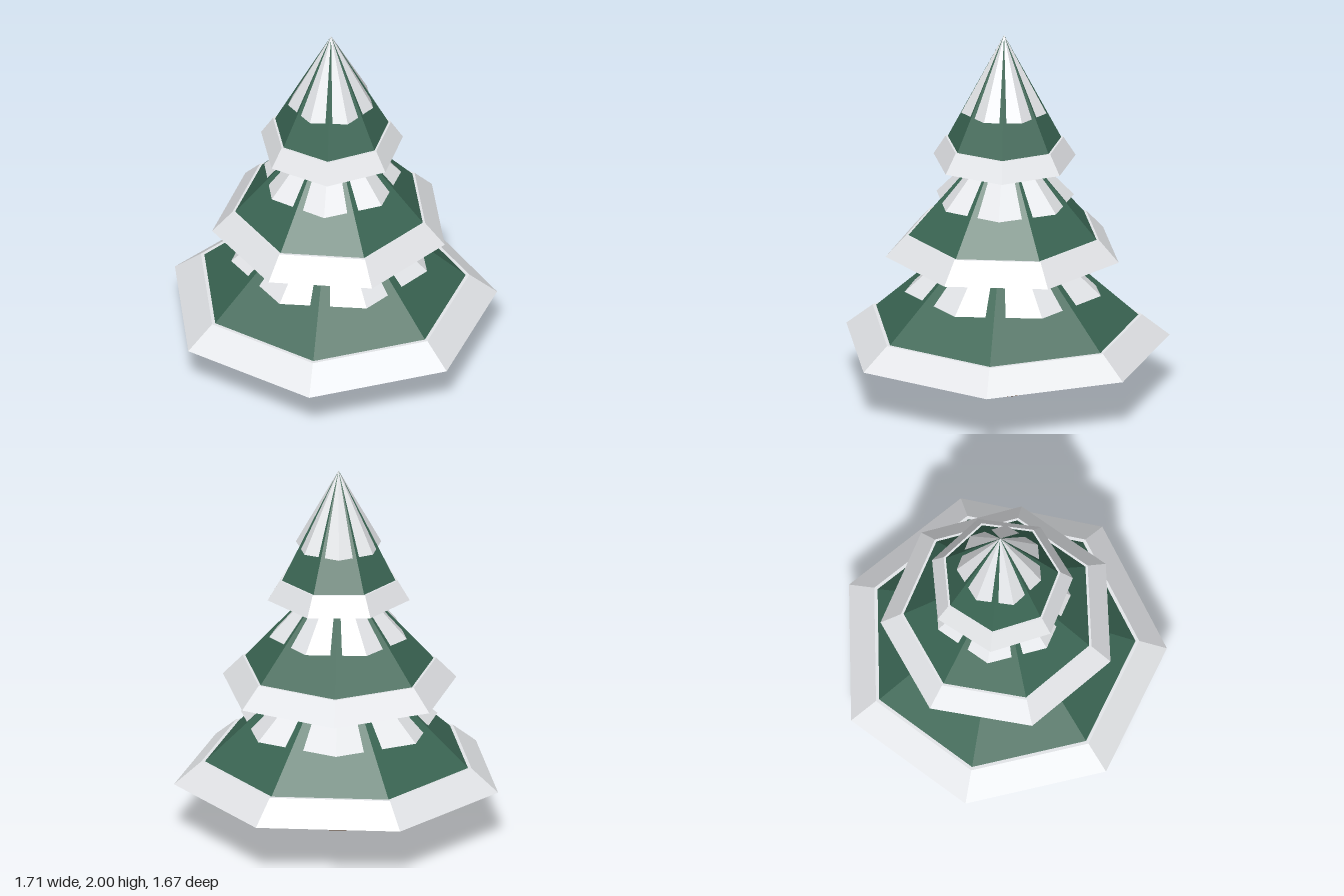
import * as THREE from 'three';

const SIDES = 7;
const rad = THREE.MathUtils.degToRad;

// Faceted mesh with one normal per face
function facetedMesh(name, geometry, material) {
  const flat = geometry.toNonIndexed();
  flat.computeVertexNormals();
  const mesh = new THREE.Mesh(flat, material);
  mesh.name = name;
  return mesh;
}

// Closed pyramid from a base height up to its apex
function pyramid(name, radius, base, apex, turn, material) {
  const geometry = new THREE.ConeGeometry(radius, apex - base, SIDES, 1, false, turn);
  geometry.translate(0, (base + apex) / 2, 0);
  return facetedMesh(name, geometry, material);
}

export function createModel() {
  const snow = new THREE.MeshStandardMaterial({ color: 0xe6e8eb });
  snow.name = 'snow';
  const needles = new THREE.MeshStandardMaterial({ color: 0x3a6553 });
  needles.name = 'needleGreen';
  const bark = new THREE.MeshStandardMaterial({ color: 0x553822 });
  bark.name = 'bark';

  const tree = new THREE.Group();
  tree.name = 'snowyFirTree';

  // Tapered six-sided trunk
  const trunkGeometry = new THREE.CylinderGeometry(0.079, 0.098, 0.3, 6);
  trunkGeometry.translate(0, 0.15, 0);
  tree.add(facetedMesh('trunk', trunkGeometry, bark));

  // Each tier: heights, green base radius, hem radii, cap radius, turns in degrees
  const tiers = [
    { name: 'lowerTier', base: 0.28, apex: 1.05, radius: 0.842, hemTop: 0.4, hemOuter: 0.876, hemUpper: 0.73,
      capBase: 0.59, capRadius: 0.53, turn: 25.71, capTurn: 2.5 },
    { name: 'middleTier', base: 0.79, apex: 1.48, radius: 0.61, hemTop: 0.905, hemOuter: 0.63, hemUpper: 0.522,
      capBase: 1.085, capRadius: 0.371, turn: 1.8, capTurn: 27.5 },
    { name: 'upperTier', base: 1.3, apex: 2, radius: 0.36, hemTop: 0.405 + 1, hemOuter: 0.383, hemUpper: 0.318,
      capBase: 1.58, capRadius: 0.23, turn: 30, capTurn: 4.3 },
  ];

  for (const t of tiers) {
    const tier = new THREE.Group();
    tier.name = t.name;

    // Green branches
    tier.add(pyramid('branches', t.radius, t.base, t.apex, rad(t.turn), needles));

    // Snow hem around the lower edge, meeting the branches at top and bottom
    const inner = t.radius * (t.apex - t.hemTop) / (t.apex - t.base) - 0.005;
    const profile = [
      [t.radius, t.base], [t.hemOuter, t.base], [t.hemUpper, t.hemTop], [inner, t.hemTop],
    ].map(([x, y]) => new THREE.Vector2(x, y));
    tier.add(facetedMesh('snowHem', new THREE.LatheGeometry(profile, SIDES, rad(t.turn)), snow));

    // Turned snow cap: the green ridges break through it as narrow gaps
    tier.add(pyramid('snowCap', t.capRadius, t.capBase, t.apex, rad(t.capTurn), snow));
    tree.add(tier);
  }

  // Centre the seven-sided footprint in depth
  for (const part of tree.children) part.position.z = 0.043;
  return tree;
}
